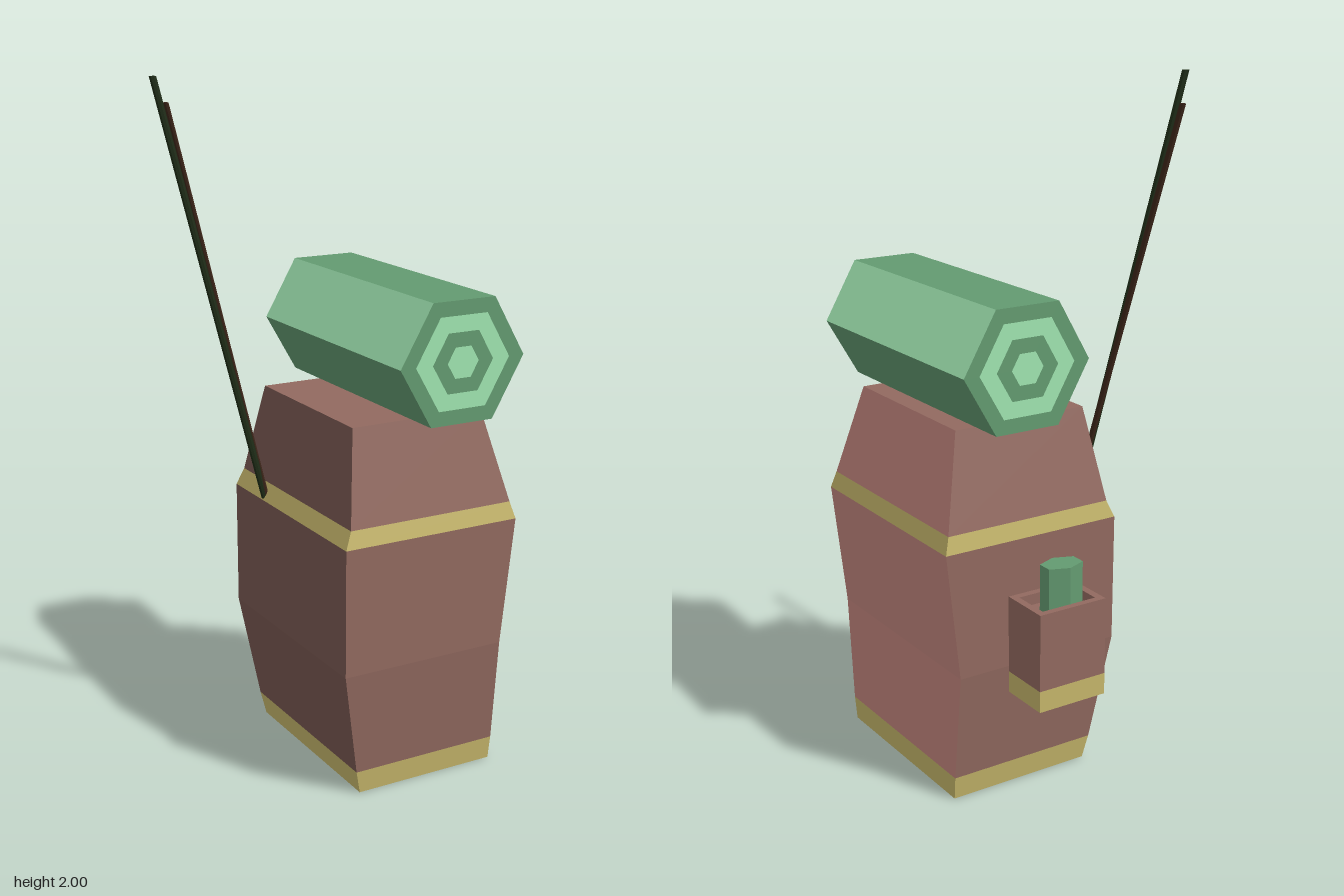
import * as THREE from 'three';

const COL = {
  brown: 0x91695f, rose: 0xc2857d, dark: 0x775750, under: 0x7a564e, trim: 0xc4b56a,
  green: 0x639a70, mint: 0x9fe4b0, stickGreen: 0x1c2a14, stickBrown: 0x3a2418,
};
const FACE = { right: 0, left: 1, top: 2, bottom: 3, front: 4, back: 5 };
const SIDES = ['right', 'left', 'front', 'back'];

function add(parent, name, geometry, color) {
  const material = new THREE.MeshStandardMaterial({ color, flatShading: true });
  const mesh = new THREE.Mesh(geometry, material);
  mesh.name = name;
  parent.add(mesh);
  return mesh;
}

// Chosen faces of a box stretched between two sections [y, x0, x1, z0, z1]
function frustum(lower, upper, faces) {
  const geo = new THREE.BoxGeometry(1, 1, 1);
  const p = geo.attributes.position;
  for (let i = 0; i < p.count; i++) {
    const s = p.getY(i) > 0 ? upper : lower;
    p.setXYZ(i, p.getX(i) > 0 ? s[2] : s[1], s[0], p.getZ(i) > 0 ? s[4] : s[3]);
  }
  const all = Array.from(geo.index.array);
  geo.setIndex(faces.flatMap((f) => all.slice(FACE[f] * 6, FACE[f] * 6 + 6)));
  geo.clearGroups();
  geo.computeVertexNormals();
  return geo;
}

// Faceted pack with trim bands near the foot and the shoulder
function buildBody() {
  const body = new THREE.Group();
  body.name = 'body';
  const sections = [
    [0, -0.07, 0.375, -0.24, 0.35],
    [0.07, -0.085, 0.378, -0.25, 0.357],
    [0.39, -0.142, 0.375, -0.281, 0.391],
    [0.765, -0.142, 0.418, -0.284, 0.391],
    [0.815, -0.12, 0.404, -0.274, 0.378],
    [1.085, -0.08, 0.338, -0.207, 0.314],
  ];
  const sideColor = { right: COL.rose, left: COL.dark, front: COL.brown, back: COL.brown };
  for (let i = 0; i < sections.length - 1; i++) {
    const a = sections[i], b = sections[i + 1];
    if (i === 0 || i === 3) {
      add(body, i ? 'shoulderBand' : 'footBand', frustum(a, b, SIDES), COL.trim);
    } else {
      for (const s of SIDES) add(body, s + 'Panel', frustum(a, b, [s]), sideColor[s]);
    }
  }
  add(body, 'lid', frustum(sections[4], sections[5], ['top']), COL.brown);
  add(body, 'underside', frustum(sections[0], sections[1], ['bottom']), COL.under);
  return body;
}

// Hexagonal bedroll with concentric rings on both ends
function buildRoll() {
  const roll = new THREE.Group();
  roll.name = 'bedroll';
  const R = 0.198, length = 0.776;
  for (let i = 0; i < 6; i++) {
    const geo = new THREE.CylinderGeometry(R, R, length, 1, 1, true,
      Math.PI / 2 + i * Math.PI / 3, Math.PI / 3);
    geo.rotateX(Math.PI / 2);
    add(roll, 'rollSide', geo, i === 0 || i === 2 ? COL.mint : COL.green);
  }
  const radii = [R, 0.15, 0.097, 0.05, 0];
  for (const end of [1, -1]) {
    for (let i = 0; i < 4; i++) {
      const geo = radii[i + 1] ? new THREE.RingGeometry(radii[i + 1], radii[i], 6, 1)
        : new THREE.CircleGeometry(radii[i], 6);
      if (end < 0) geo.rotateY(Math.PI);
      geo.translate(0, 0, end * length / 2);
      add(roll, 'rollEndRing', geo, i % 2 ? COL.mint : COL.green);
    }
  }
  roll.position.set(0.19, 1.264, 0.053);
  return roll;
}

// Back pocket: trimmed base, recessed top, and a bottle standing in it
function buildPocket() {
  const pocket = new THREE.Group();
  pocket.name = 'backPocket';
  const at = (y) => [y, 0, 0.218, -0.44, -0.283];
  add(pocket, 'pocketTrim', frustum(at(0.312), at(0.375), [...SIDES, 'bottom']), COL.trim);
  add(pocket, 'pocketBox', frustum(at(0.375), at(0.57), [...SIDES, 'top']), COL.brown);

  const rect = (Type, x0, x1, y0, y1) => new Type([
    new THREE.Vector2(x0, y0), new THREE.Vector2(x1, y0),
    new THREE.Vector2(x1, y1), new THREE.Vector2(x0, y1)]);
  const rim = rect(THREE.Shape, 0, 0.218, 0.283, 0.44);
  rim.holes.push(rect(THREE.Path, 0.022, 0.197, 0.305, 0.42));
  const rimGeo = new THREE.ExtrudeGeometry(rim, { depth: 0.032, bevelEnabled: false });
  rimGeo.rotateX(-Math.PI / 2).translate(0, 0.57, 0);
  add(pocket, 'pocketRim', rimGeo, COL.brown);

  const bottle = new THREE.CylinderGeometry(1, 1, 0.14, 6);
  bottle.scale(0.065, 1, 0.044).translate(0.107, 0.64, -0.378);
  add(pocket, 'bottle', bottle, COL.green);
  return pocket;
}

// Slender stick: an upright cylinder sheared between two points
function stickGeometry(from, to, rx, rz) {
  const geo = new THREE.CylinderGeometry(1, 1, 1, 8);
  const p = geo.attributes.position;
  for (let i = 0; i < p.count; i++) {
    const t = p.getY(i) + 0.5;
    p.setXYZ(i,
      THREE.MathUtils.lerp(from[0], to[0], t) + p.getX(i) * rx,
      THREE.MathUtils.lerp(from[1], to[1], t),
      THREE.MathUtils.lerp(from[2], to[2], t) + p.getZ(i) * rz);
  }
  geo.computeVertexNormals();
  return geo;
}

export function createModel() {
  const model = new THREE.Group();
  model.name = 'backpack';
  model.add(buildBody(), buildRoll(), buildPocket());
  add(model, 'greenStick',
    stickGeometry([-0.133, 0.77, -0.11], [-0.412, 2, -0.214], 0.011, 0.009), COL.stickGreen);
  add(model, 'brownStick',
    stickGeometry([-0.13, 0.78, -0.108], [-0.338, 1.92, -0.297], 0.007, 0.011), COL.stickBrown);
  return model;
}
